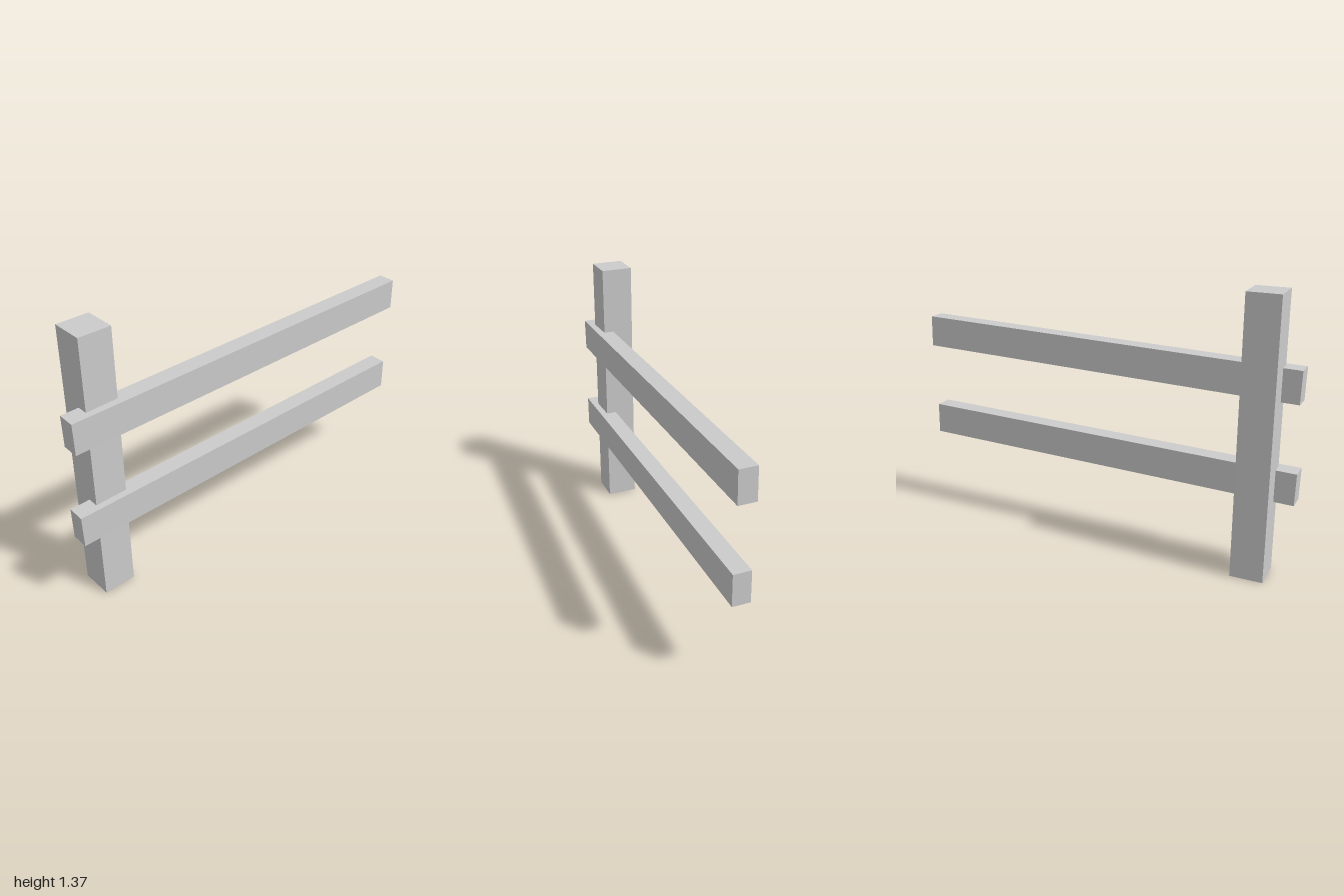
import * as THREE from 'three';

export function createModel() {
  const model = new THREE.Group();
  const material = new THREE.MeshStandardMaterial({ color: 0xcccccc, flatShading: true });

  const addBeam = (name, size, position, rotation = [0, 0, 0]) => {
    const beam = new THREE.Mesh(new THREE.BoxGeometry(...size), material);
    beam.name = name;
    beam.position.set(...position);
    beam.rotation.set(...rotation);
    model.add(beam);
  };

  // Upright square post
  addBeam('post', [0.16, 1.365, 0.16], [-0.82, 0.6825, -0.034]);

  // Two slightly crooked rails set into the front of the post
  const railSize = [1.983, 0.158, 0.087];
  addBeam('upperRail', railSize, [0.003, 0.959, 0.052], [0.01, -0.018, 0.022]);
  addBeam('lowerRail', railSize, [-0.007, 0.471, 0.051], [0, -0.018, 0.021]);

  return model;
}
